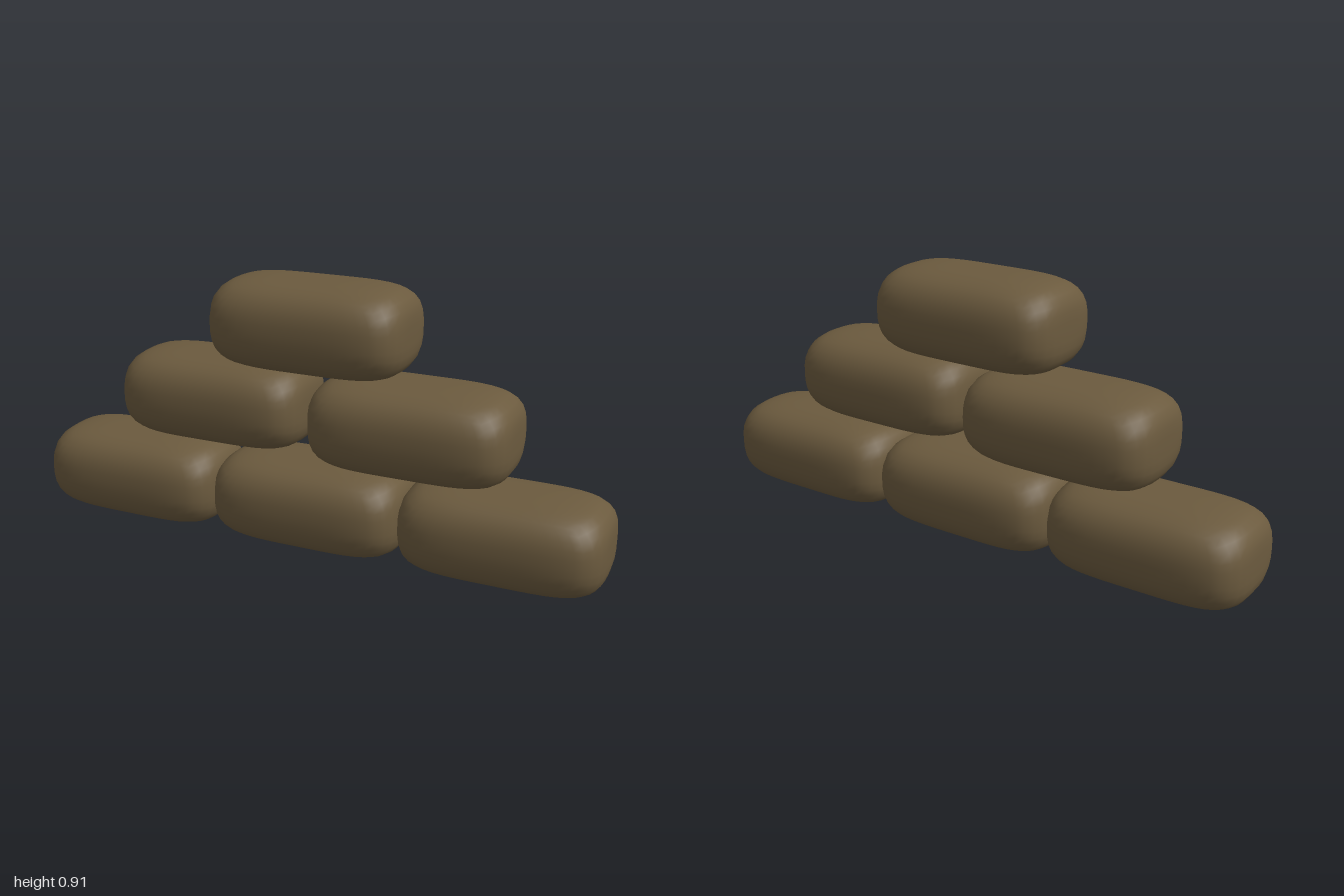
import * as THREE from 'three';
import { mergeVertices } from 'three/addons/utils/BufferGeometryUtils.js';

// Pillow shape: a box pushed out onto a rounded superellipsoid
function bagGeometry(halfX, halfY, halfZ) {
  const endPower = 4.4, sectionPower = 2.7;
  let g = new THREE.BoxGeometry(2, 2, 2, 14, 10, 10);
  g.deleteAttribute('uv');
  g.deleteAttribute('normal');
  g = mergeVertices(g, 1e-4);
  const p = g.attributes.position;
  for (let i = 0; i < p.count; i++) {
    const x = p.getX(i), y = p.getY(i), z = p.getZ(i);
    const section = Math.pow(Math.abs(y) ** sectionPower + Math.abs(z) ** sectionPower, 1 / sectionPower);
    const r = Math.pow(Math.abs(x) ** endPower + section ** endPower, 1 / endPower);
    p.setXYZ(i, (x / r) * halfX, (y / r) * halfY, (z / r) * halfZ);
  }
  g.computeVertexNormals();
  return g;
}

export function createModel() {
  const group = new THREE.Group();
  group.name = 'sandbagStack';
  const burlap = new THREE.MeshStandardMaterial({ color: 0x6b5a3e });
  burlap.name = 'brown burlap';
  const geometry = bagGeometry(0.3333, 0.1525, 0.2);

  // Rows from the ground up; the middle pair is staggered in depth
  const rows = [
    { name: 'bottomBag', y: 0.156, bags: [[-0.6667, 0], [0, 0], [0.6667, 0]] },
    { name: 'middleBag', y: 0.47, bags: [[-0.361, -0.025], [0.361, 0.025]] },
    { name: 'topBag', y: 0.761, bags: [[0, 0]] },
  ];
  for (const { name, y, bags } of rows) {
    bags.forEach(([x, z], i) => {
      const bag = new THREE.Mesh(geometry, burlap);
      bag.name = bags.length > 1 ? name + (i + 1) : name;
      bag.position.set(x, y, z);
      group.add(bag);
    });
  }
  return group;
}
